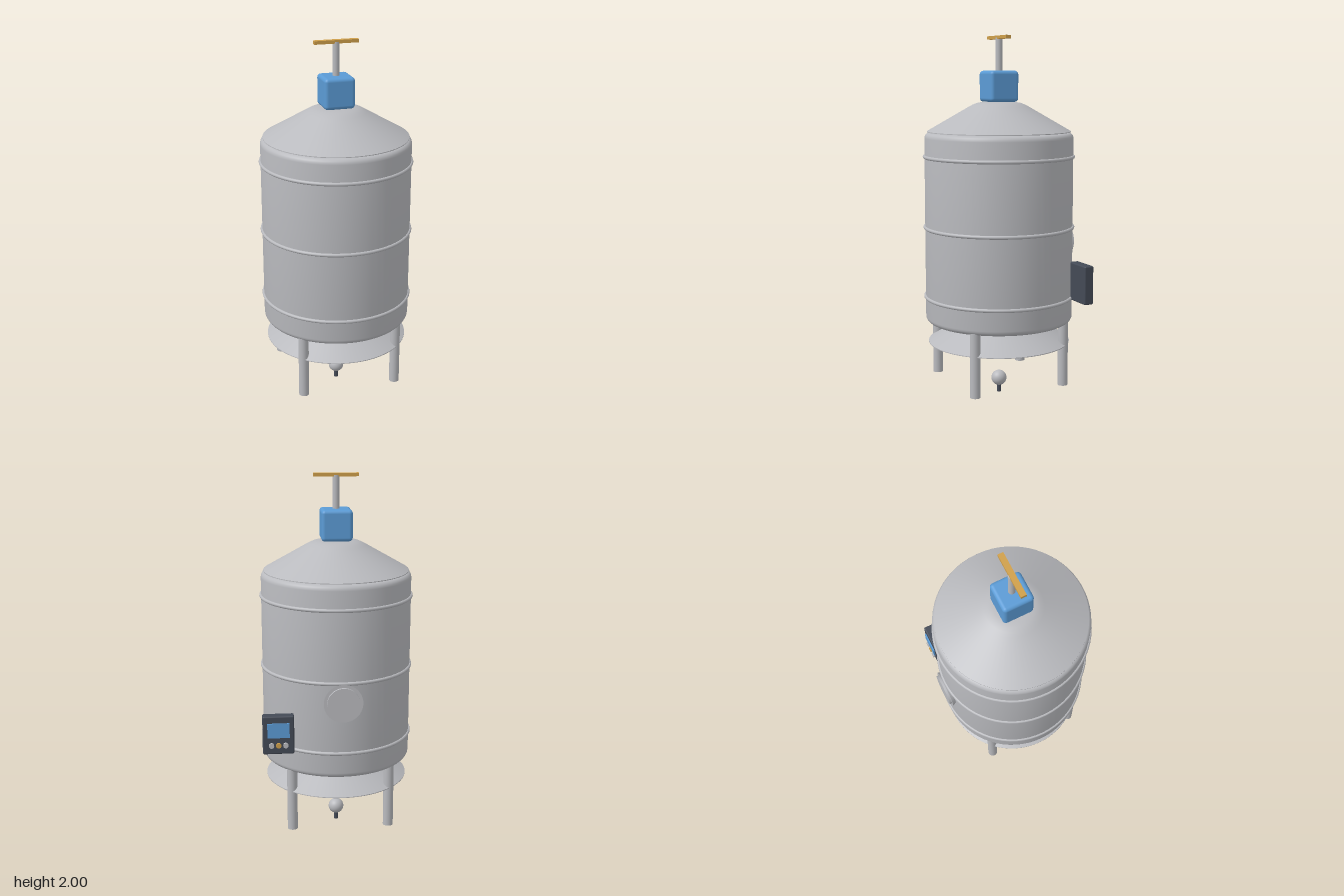
import * as THREE from 'three';
import { toCreasedNormals } from 'three/addons/utils/BufferGeometryUtils.js';
import { RoundedBoxGeometry } from 'three/addons/geometries/RoundedBoxGeometry.js';

const mat = (name, color) => {
  const m = new THREE.MeshStandardMaterial({ color });
  m.name = name;
  return m;
};

export function createModel() {
  const steel = mat('steel', 0xb9babe);
  const blue = mat('blue', 0x5b9bd5);
  const brass = mat('brass', 0xcf9f4a);
  const dark = mat('dark grey', 0x444a56);

  const model = new THREE.Group();
  model.name = 'tank';
  const body = new THREE.Group();
  body.name = 'body';
  body.position.set(-0.002, 0, 0.003);
  model.add(body);

  const add = (name, geometry, material, x = 0, y = 0, z = 0, parent = body) => {
    const mesh = new THREE.Mesh(geometry, material);
    mesh.name = name;
    mesh.position.set(x, y, z);
    parent.add(mesh);
    return mesh;
  };
  const cyl = (r, h, seg = 24) => new THREE.CylinderGeometry(r, r, h, seg);
  const lathe = (pts) => toCreasedNormals(
    new THREE.LatheGeometry(pts.map(([r, y]) => new THREE.Vector2(r, y)), 64), 0.5);

  // Vessel with rounded rims
  const R = 0.41, bevel = 0.03, low = 0.425, high = 1.477;
  const profile = [[0, low]];
  for (let i = 0; i <= 5; i++) {
    const a = (i / 5) * Math.PI / 2;
    profile.push([R - bevel + bevel * Math.sin(a), low + bevel - bevel * Math.cos(a)]);
  }
  for (let i = 0; i <= 5; i++) {
    const a = (i / 5) * Math.PI / 2;
    profile.push([R - bevel + bevel * Math.cos(a), high - bevel + bevel * Math.sin(a)]);
  }
  profile.push([0, high]);
  add('vessel', lathe(profile), steel);

  // Conical lid, and the same cone under the vessel
  const cone = lathe([[0, 0], [0.396, 0], [0.396, 0.004], [0.165, 0.137], [0.145, 0.148],
    [0.122, 0.157], [0.095, 0.162], [0, 0.163]]);
  add('lid', cone, steel, 0, 1.48, 0);
  add('bottomCone', cone, steel, 0, 0.305, 0);

  // Hoops
  for (const y of [0.567, 0.955, 1.345]) {
    add('hoop', new THREE.TorusGeometry(R, 0.01, 10, 64), steel, 0, y, 0).rotation.x = Math.PI / 2;
  }

  // Legs
  for (const x of [-0.266, 0.266]) {
    for (const z of [-0.266, 0.266]) add('leg', cyl(0.028, 0.36), steel, x, 0.26, z);
  }

  // Motor, shaft and crossbar
  add('motor', new RoundedBoxGeometry(0.168, 0.168, 0.168, 4, 0.02), blue, 0, 1.728, 0);
  add('shaft', cyl(0.019, 0.19), steel, 0, 1.895, 0);
  add('crossbar', new THREE.BoxGeometry(0.242, 0.018, 0.03), brass, 0, 1.991, 0.001);

  // Drain valve
  add('valveBall', new THREE.SphereGeometry(0.043, 32, 20), steel, 0, 0.081, 0);
  add('valveSpout', cyl(0.012, 0.05, 16), dark, 0, 0.025, 0);

  // Round hatch on the back
  const hatch = new THREE.Group();
  hatch.name = 'hatch';
  hatch.position.set(0, 0.85, 0);
  hatch.rotation.x = -Math.PI / 2;
  body.add(hatch);
  add('hatchFlange', new THREE.CylinderGeometry(0.104, 0.09, 0.03, 40), steel, 0, 0.405, 0, hatch);
  add('hatchCover', cyl(0.087, 0.06, 40), steel, 0, 0.403, 0, hatch);

  // Control box facing backwards
  const control = new THREE.Group();
  control.name = 'controlBox';
  control.position.set(0.338, 0.665, -0.334);
  model.add(control);
  add('case', new RoundedBoxGeometry(0.168, 0.212, 0.055, 3, 0.008), dark, 0, 0, 0, control);
  add('screen', new THREE.BoxGeometry(0.118, 0.08, 0.009), blue, 0, 0.028, -0.031, control);
  [steel, brass, steel].forEach((m, i) => {
    add('button', cyl(0.014, 0.014, 20), m, (i - 1) * 0.038, -0.055, -0.033, control)
      .rotation.x = Math.PI / 2;
  });

  return model;
}
